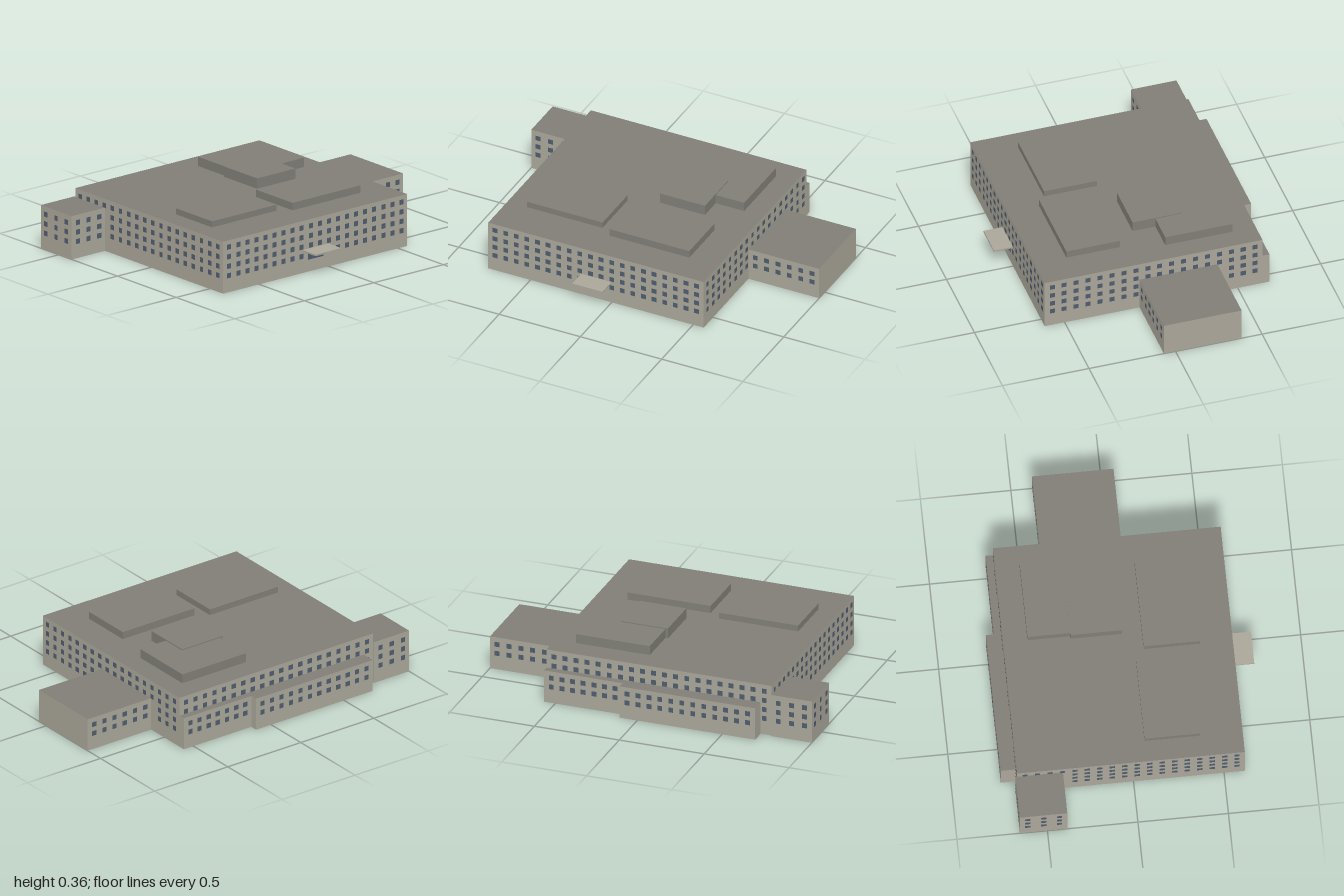
import * as THREE from 'three';
import { mergeGeometries } from 'three/addons/utils/BufferGeometryUtils.js';

const material = (name, color, extra = {}) => {
  const m = new THREE.MeshStandardMaterial({ color, ...extra });
  m.name = name;
  return m;
};

export function createModel() {
  const wall = material('wall', 0xaaa699, { side: THREE.DoubleSide });
  const roof = material('roof', 0x807e76, { side: THREE.DoubleSide });
  const glass = material('glass', 0x505d6e);
  const model = new THREE.Group();
  model.name = 'building';

  const part = (name, geometry, mat) => {
    const mesh = new THREE.Mesh(geometry, mat);
    mesh.name = name;
    model.add(mesh);
    return mesh;
  };

  const boxGeometry = (x0, x1, y0, y1, z0, z1) =>
    new THREE.BoxGeometry(x1 - x0, y1 - y0, z1 - z0)
      .translate((x0 + x1) / 2, (y0 + y1) / 2, (z0 + z1) / 2);

  // Hollow block standing on the ground: four walls and a roof, no floor
  function block(name, x0, x1, z0, z1, height) {
    const g = boxGeometry(x0, x1, 0, height, z0, z1);
    const index = Array.from(g.index.array);
    index.splice(18, 6);
    g.setIndex(index);
    g.clearGroups();
    g.addGroup(0, 12, 0);
    g.addGroup(12, 6, 1);
    g.addGroup(18, 12, 0);
    part(name, g, [wall, roof]);
  }

  // Rows of windows on a facade running left to right (seen from outside) from a to b
  const floors = [0.097, 0.151, 0.206, 0.262];
  function windows(name, a, b, columns, rows, hidden = () => false) {
    const margin = 0.043, size = 0.029;
    const length = Math.hypot(b[0] - a[0], b[1] - a[1]);
    const dx = (b[0] - a[0]) / length, dz = (b[1] - a[1]) / length;
    const nx = -dz, nz = dx;
    const panes = [];
    for (let i = 0; i < columns; i++) {
      const t = margin + (length - 2 * margin) * i / (columns - 1);
      const x = a[0] + dx * t, z = a[1] + dz * t;
      for (const y of floors.slice(0, rows)) {
        if (hidden(x, y, z)) continue;
        panes.push(new THREE.PlaneGeometry(size, size)
          .rotateY(Math.atan2(nx, nz))
          .translate(x + nx * 0.002, y, z + nz * 0.002));
      }
    }
    part(name, mergeGeometries(panes), glass);
  }

  // Main hall
  const L = -0.76, R = 0.565, F = 0.615, B = -0.643;
  block('mainHall', L, R, B, F, 0.3);
  windows('mainFrontWindows', [L, F], [R, F], 20, 4,
    (x, y) => y < 0.11 && x > -0.16 && x < -0.03);
  windows('mainLeftWindows', [R, F], [R, B], 18, 4,
    (x, y, z) => y < 0.19 && z > -0.395 && z < 0.08);
  windows('mainBackWindows', [R, B], [L, B], 20, 4, (x, y) => y < 0.19 && x > -0.7);
  windows('mainRightWindows', [L, B], [L, F], 18, 4, (x, y, z) => y < 0.25 && z < -0.38);

  // Low wing on the left side, with a blind end wall
  block('leftWing', R, 1, -0.382, 0.067, 0.193);
  windows('leftWingFrontWindows', [R, 0.067], [1, 0.067], 6, 2);
  windows('leftWingBackWindows', [1, -0.382], [R, -0.382], 6, 2);

  // Taller small wing at the right rear corner
  block('rightWing', -1, L, -0.652, -0.39, 0.25);
  windows('rightWingFrontWindows', [-1, -0.39], [L, -0.39], 3, 3);
  windows('rightWingBackWindows', [L, -0.652], [-1, -0.652], 3, 3);
  windows('rightWingEndWindows', [-1, -0.652], [-1, -0.39], 3, 3);

  // Shallow extensions along the back
  block('backExtensionDeep', -0.695, 0.103, -0.727, B, 0.19);
  windows('backExtensionDeepWindows', [0.103, -0.727], [-0.695, -0.727], 12, 2);
  block('backExtensionShallow', 0.103, R, -0.683, B, 0.19);
  windows('backExtensionShallowWindows', [R, -0.683], [0.103, -0.683], 7, 2);

  // Plant rooms on the roof
  [
    [-0.64, -0.175, 0.335, 0.073, 0.38],
    [-0.105, 0.385, 0.343, 0.122, 0.432],
    [-0.005, 0.27, 0.36, -0.27, 0.012],
    [0.01, 0.445, 0.354, -0.508, -0.12],
  ].forEach(([x0, x1, top, z0, z1], i) =>
    part(`roofPlantRoom${i + 1}`, boxGeometry(x0, x1, 0.3, top, z0, z1), roof));

  // Entrance with its canopy
  part('entranceDoor', boxGeometry(-0.15, -0.04, 0.07, 0.125, F, F + 0.004), glass);
  part('entranceCanopy', boxGeometry(-0.188, -0.002, 0.124, 0.133, F, 0.725), wall);

  return model;
}
